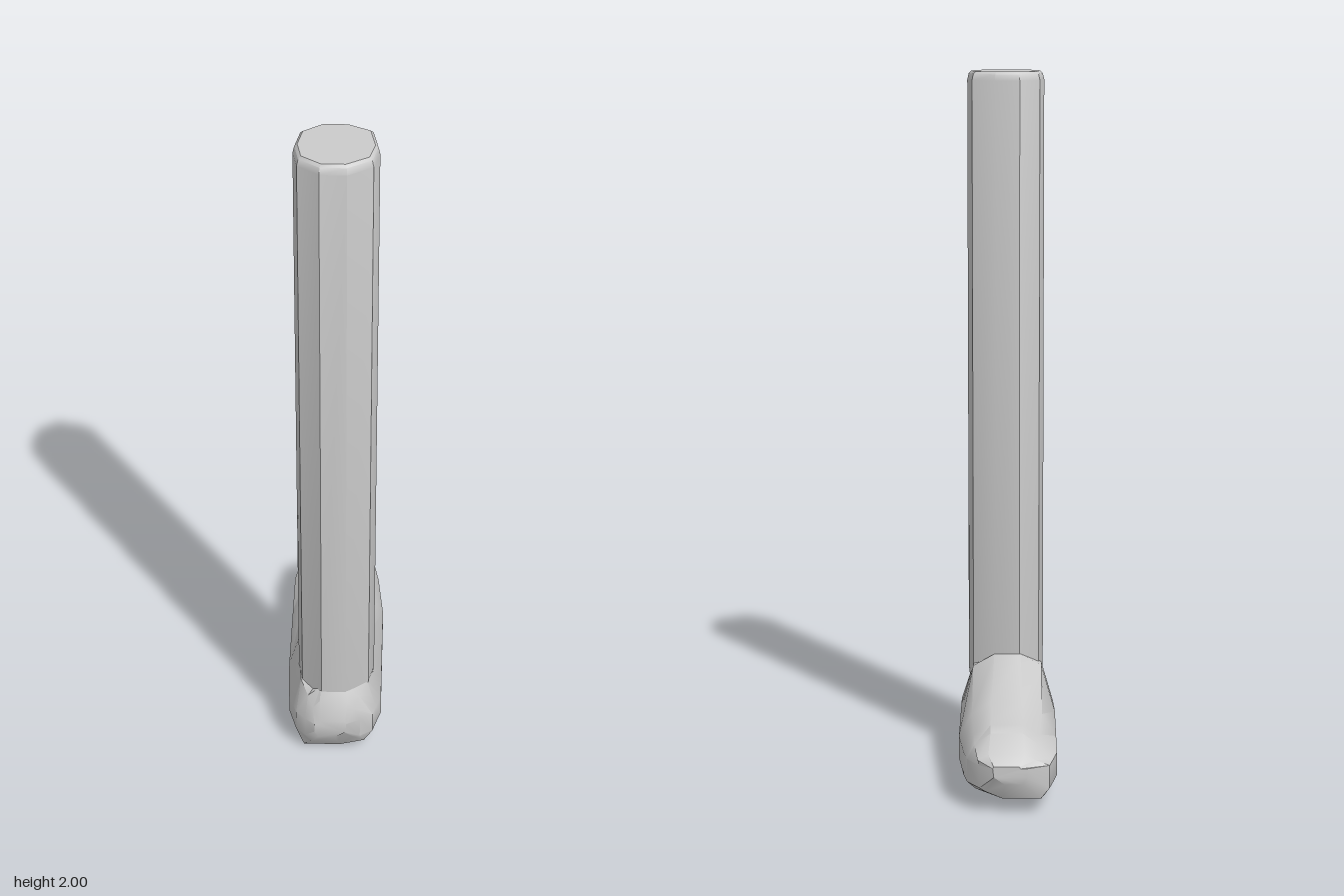
import * as THREE from 'three';
import { toCreasedNormals } from 'three/addons/utils/BufferGeometryUtils.js';

// Skin a list of equal-length rings and close both ends with fans.
// Rings run counter-clockwise when seen from the end of the list.
function loft(rings) {
  const n = rings[0].length;
  const points = rings.flat();
  const index = [];
  for (let r = 0; r < rings.length - 1; r++) {
    for (let i = 0; i < n; i++) {
      const a = r * n + i, b = r * n + (i + 1) % n;
      index.push(a, b, b + n, a, b + n, a + n);
    }
  }
  const last = (rings.length - 1) * n;
  for (let i = 1; i < n - 1; i++) {
    index.push(0, i + 1, i, last, last + i, last + i + 1);
  }
  const geometry = new THREE.BufferGeometry();
  geometry.setAttribute('position', new THREE.Float32BufferAttribute(points.flat(), 3));
  geometry.setIndex(index);
  return toCreasedNormals(geometry, 0.6);
}

// Foot cross-section: rounded sides, narrow crown, sole slightly raised on the +x edge
function footRing([z, crownX, crownY, shoulderX, shoulderY, left, right, soleY]) {
  const high = Math.min(0.135, shoulderY);
  const low = Math.max(0.07, soleY + 0.02);
  return [
    [right, low, z], [right, high, z],
    [shoulderX, shoulderY, z], [crownX, crownY, z],
    [-crownX, crownY, z], [-shoulderX, shoulderY, z],
    [-left, high, z], [-left, low, z],
    [-left * 0.8, soleY, z], [right * 0.15, soleY, z], [right * 0.78, soleY + 0.02, z],
  ];
}

export function createModel() {
  const group = new THREE.Group();
  const material = new THREE.MeshStandardMaterial({ color: 0xcccccc });
  const add = (name, geometry) => {
    const mesh = new THREE.Mesh(geometry, material);
    mesh.name = name;
    group.add(mesh);
  };

  // Shaft: ten-sided, with a small bevel at the top
  const outline = [
    [0.115, 0.25], [0.1, 0.17], [0.035, 0.137], [-0.035, 0.137], [-0.092, 0.178],
    [-0.105, 0.25], [-0.092, 0.315], [-0.035, 0.356], [0.035, 0.356], [0.1, 0.315],
  ];
  const shaftLevels = [[0.15, 0.9], [0.24, 1], [1.975, 1], [1.993, 0.96], [2, 0.89]];
  add('shaft', loft(shaftLevels.map(([y, s]) =>
    outline.map(([x, z]) => [0.004 + (x - 0.004) * s, y, 0.247 + (z - 0.247) * s]))));

  // Foot, toe to heel: z, crown x/y, shoulder x/y, left and right extents, sole height
  const sections = [
    [-0.395, 0.035, 0.14, 0.038, 0.135, 0.055, 0.035, 0.09],
    [-0.365, 0.05, 0.165, 0.08, 0.15, 0.118, 0.075, 0.04],
    [-0.31, 0.045, 0.208, 0.09, 0.175, 0.129, 0.11, 0.03],
    [-0.25, 0.045, 0.214, 0.092, 0.187, 0.14, 0.121, 0.023],
    [-0.1, 0.045, 0.233, 0.1, 0.2, 0.14, 0.137, 0.006],
    [0.137, 0.038, 0.31, 0.1, 0.275, 0.14, 0.137, 0.003],
    [0.2, 0.038, 0.29, 0.1, 0.27, 0.138, 0.137, 0.002],
    [0.27, 0.036, 0.26, 0.1, 0.25, 0.134, 0.137, 0],
    [0.315, 0.036, 0.25, 0.096, 0.24, 0.12, 0.123, 0.002],
    [0.346, 0.036, 0.243, 0.075, 0.205, 0.11, 0.114, 0.01],
    [0.37, 0.04, 0.205, 0.06, 0.178, 0.083, 0.077, 0.045],
    [0.393, 0.035, 0.145, 0.038, 0.14, 0.055, 0.035, 0.085],
  ];
  add('foot', loft(sections.map(footRing)));

  return group;
}
